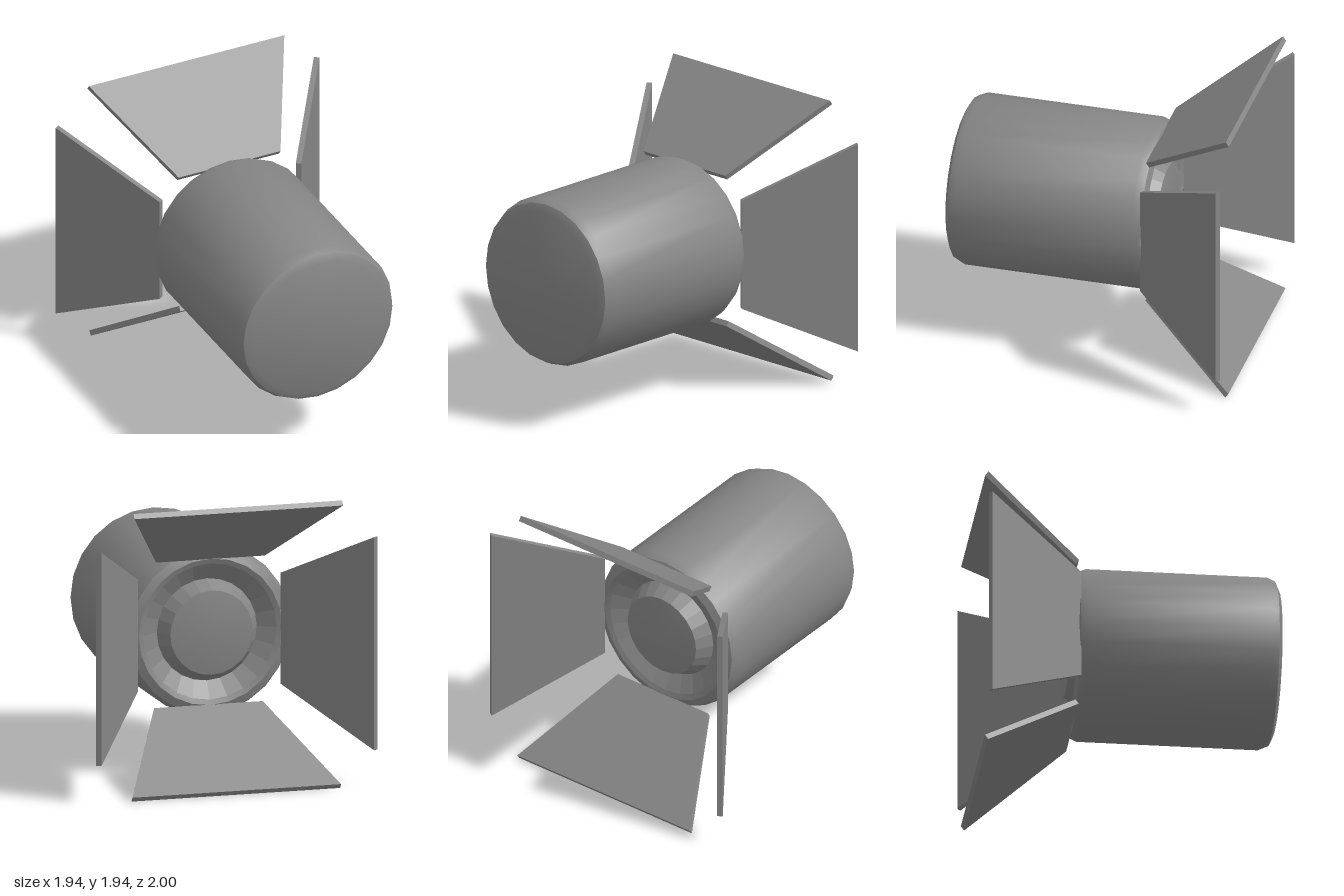
import * as THREE from 'three';
import { toCreasedNormals } from 'three/addons/utils/BufferGeometryUtils.js';

const SIDES = 24;
const CENTRE_Y = 0.972;
const darkGrey = new THREE.MeshStandardMaterial({ color: 0x868686 });
const facetedGrey = new THREE.MeshStandardMaterial({ color: 0x868686, flatShading: true });

// Lathe around the z axis; profile is [radius, z] from back to front
function turned(name, profile, material) {
  const points = profile.map(([r, z]) => new THREE.Vector2(r, z));
  let geometry = new THREE.LatheGeometry(points, SIDES).rotateX(Math.PI / 2);
  if (!material.flatShading) geometry = toCreasedNormals(geometry, THREE.MathUtils.degToRad(30));
  const mesh = new THREE.Mesh(geometry, material);
  mesh.name = name;
  return mesh;
}

// Trapezoid flap hinged at the rim of the lamp and tilted outward
function flapGeometry() {
  const length = 0.782;
  const shape = new THREE.Shape([
    new THREE.Vector2(-0.375, 0),
    new THREE.Vector2(0.375, 0),
    new THREE.Vector2(0.72, length),
    new THREE.Vector2(-0.72, length),
  ]);
  const geometry = new THREE.ExtrudeGeometry(shape, { depth: 0.037, bevelEnabled: false });
  geometry.rotateX(-THREE.MathUtils.degToRad(54.9));
  return geometry.translate(-0.007, 0.491, -0.361);
}

export function createModel() {
  const model = new THREE.Group();
  model.name = 'spotlight';

  // Lamp head: closed can, recessed reflector and raised lens
  const head = new THREE.Group();
  head.name = 'lampHead';
  head.position.set(-0.007, CENTRE_Y, 0);
  head.add(turned('housing', [
    [0.46, -0.352], [0.495, -0.365], [0.548, -0.343], [0.573, -0.285],
    [0.573, 0.92], [0.548, 0.975], [0.495, 1], [0, 1],
  ], darkGrey));
  head.add(turned('reflector', [[0.285, -0.39], [0.345, -0.28], [0.46, -0.352]], facetedGrey));
  head.add(turned('lens', [[0, -0.43], [0.285, -0.39]], darkGrey));
  model.add(head);

  // Four identical flaps around the opening
  const geometry = flapGeometry();
  ['topFlap', 'rightFlap', 'bottomFlap', 'leftFlap'].forEach((name, i) => {
    const flap = new THREE.Mesh(geometry, facetedGrey);
    flap.name = name;
    flap.position.y = CENTRE_Y;
    flap.rotation.z = i * Math.PI / 2;
    model.add(flap);
  });

  return model;
}
